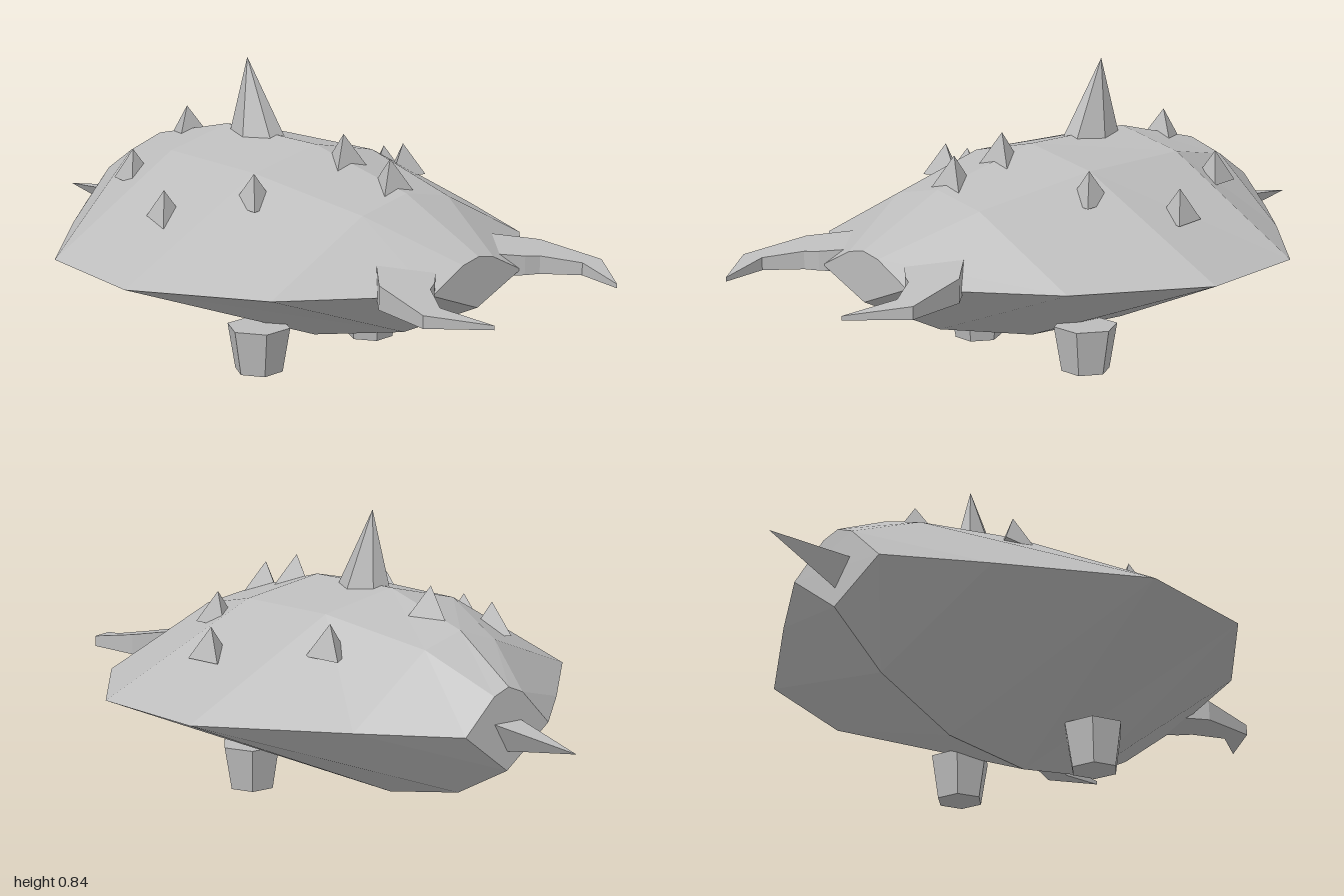
import * as THREE from 'three';

export function createModel() {
  const model = new THREE.Group();
  const shell = new THREE.MeshStandardMaterial({ color: 0xbcbcbc, flatShading: true });
  shell.name = 'shellGrey';

  function add(name, geometry, x = 0, y = 0, z = 0) {
    const mesh = new THREE.Mesh(geometry, shell);
    mesh.name = name;
    mesh.position.set(x, y, z);
    model.add(mesh);
    return mesh;
  }

  // Faceted body: cross-sections from tail to head as [z, half width, top, bottom]
  const rim = 0.33;
  const sections = [
    [-0.74, 0.14, 0.445, 0.22],
    [-0.54, 0.35, 0.56, 0.11],
    [-0.23, 0.655, 0.63, 0.035],
    [0.14, 0.71, 0.618, 0.05],
    [0.485, 0.515, 0.53, 0.135],
    [0.74, 0.185, 0.4, 0.26],
  ];
  const rings = sections.map(([z, w, top, bottom]) => {
    const sx = w * 0.34;
    const sy = rim + (top - rim) * 0.83;
    return [[w, rim], [sx, sy], [0, top], [-sx, sy], [-w, rim], [0, bottom]].map(([x, y]) => [x, y, z]);
  });
  const n = 6;
  const index = [];
  for (let i = 0; i < rings.length - 1; i++) {
    for (let j = 0; j < n; j++) {
      const a = i * n + j, b = i * n + (j + 1) % n;
      index.push(a, b, b + n, a, b + n, a + n);
    }
  }
  const last = (rings.length - 1) * n;
  for (let j = 1; j < n - 1; j++) {
    index.push(0, j + 1, j); // tail cap
    index.push(last, last + j, last + j + 1); // face cap
  }
  const bodyGeometry = new THREE.BufferGeometry();
  bodyGeometry.setAttribute('position', new THREE.Float32BufferAttribute(rings.flat(2), 3));
  bodyGeometry.setIndex(index);
  const flatBody = bodyGeometry.toNonIndexed();
  flatBody.computeVertexNormals();
  add('body', flatBody);

  // Tall back spike, leaning towards the tail
  const horn = new THREE.ConeGeometry(1, 1, 6).rotateY(Math.PI / 2).translate(0, 0.5, 0);
  horn.scale(0.065, 0.25, 0.11);
  const hp = horn.attributes.position;
  for (let i = 0; i < hp.count; i++) hp.setZ(i, hp.getZ(i) - hp.getY(i) * 0.18);
  horn.computeVertexNormals();
  add('backSpike', horn, 0, 0.59, -0.095);

  // Small three-sided spikes as [x, base height, z]
  const spike = new THREE.ConeGeometry(0.068, 0.092, 3).rotateY(Math.PI).translate(0, 0.046, 0);
  const spikes = [[0, 0.57, -0.41], [0, 0.57, 0.25], [0, 0.525, 0.425]];
  for (const s of [-1, 1]) {
    spikes.push([s * 0.28, 0.484, -0.335], [s * 0.45, 0.44, 0], [s * 0.305, 0.495, 0.205]);
  }
  for (const [x, y, z] of spikes) {
    add('shellSpike', spike, x, y, z).rotation.y = -0.3 * Math.sign(x);
  }

  // Tail spike with a flat upper face
  const tail = new THREE.ConeGeometry(0.06, 0.3, 3).rotateX(-Math.PI / 2);
  tail.computeBoundingBox();
  if (tail.boundingBox.max.y > 0.05) tail.rotateZ(Math.PI);
  add('tailSpike', tail, 0, 0.325, -0.85);

  // Hooked pincers, thinning towards the tips
  const outline = [[0.235, 0.59], [0.335, 0.69], [0.375, 0.87], [0.26, 1.0],
    [0.3, 0.86], [0.23, 0.77], [0.19, 0.75], [0.1, 0.68]];
  for (const s of [-1, 1]) {
    const shape = new THREE.Shape(outline.map(([x, z]) => new THREE.Vector2(s * x, z)));
    const geometry = new THREE.ExtrudeGeometry(shape, { depth: 1, bevelEnabled: false }).rotateX(Math.PI / 2);
    const p = geometry.attributes.position;
    for (let i = 0; i < p.count; i++) {
      p.setY(i, p.getY(i) > -0.5 ? 0.395 - 0.17 * (p.getZ(i) - 0.59) : 0.314);
    }
    geometry.computeVertexNormals();
    add(s > 0 ? 'leftPincer' : 'rightPincer', geometry);
  }

  // Stubby six-sided feet
  const foot = new THREE.CylinderGeometry(0.092, 0.07, 0.13, 6).rotateY(Math.PI / 2);
  for (const s of [-1, 1]) add(s > 0 ? 'leftFoot' : 'rightFoot', foot, s * 0.233, 0.065, 0.147);

  return model;
}
